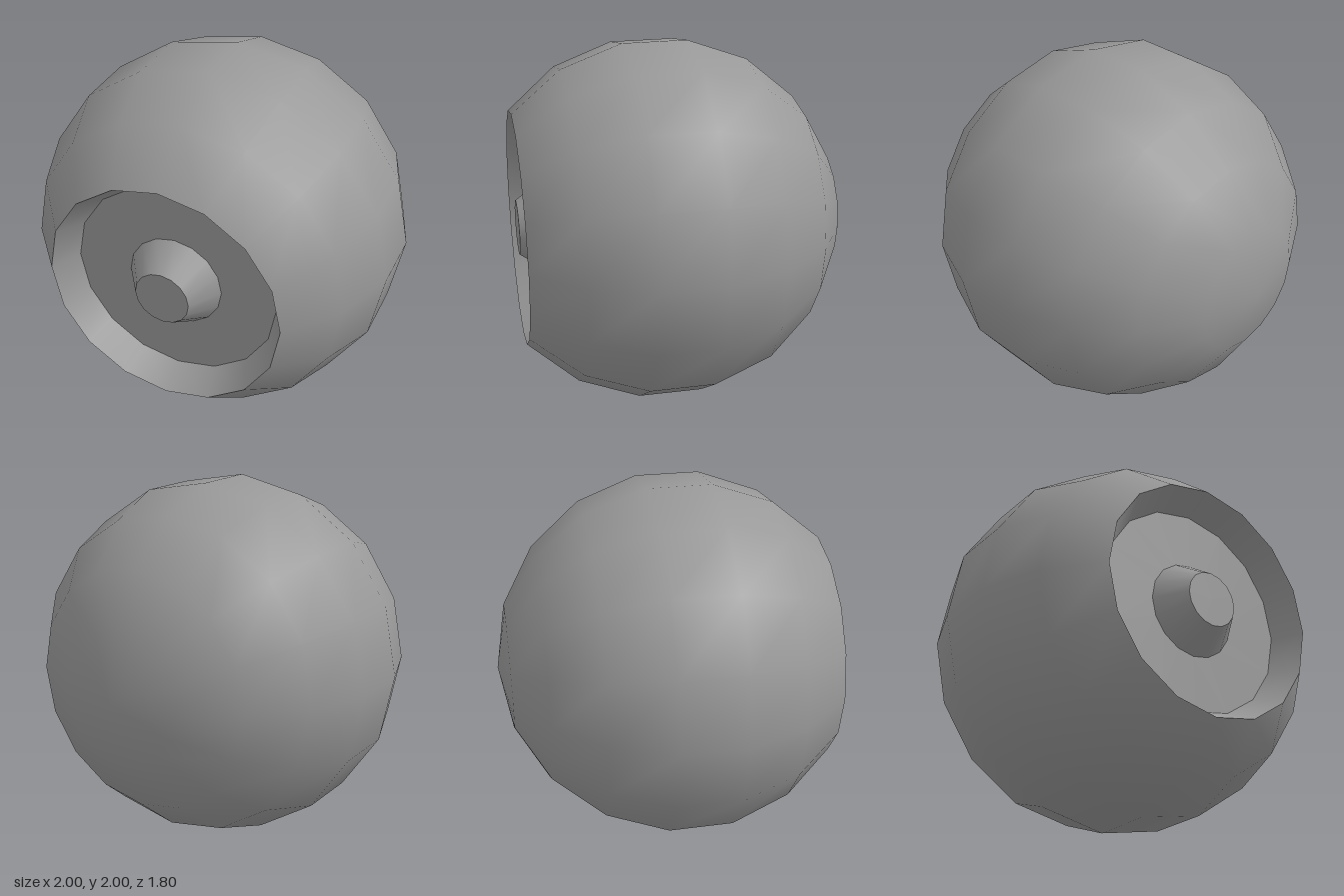
import * as THREE from 'three';

const SIDES = 16;

export function createModel() {
  const model = new THREE.Group();
  const material = new THREE.MeshStandardMaterial({ color: 0x999999 });

  function add(name, geometry, z = 0) {
    const mesh = new THREE.Mesh(geometry, material);
    mesh.name = name;
    mesh.position.set(0, 1, z);
    model.add(mesh);
  }

  // Lathe a profile of [radius, z] points round the front-back axis.
  function turned(name, profile) {
    const points = profile.map(([r, z]) => new THREE.Vector2(r, z));
    add(name, new THREE.LatheGeometry(points, SIDES).rotateX(Math.PI / 2));
  }

  // Ball: pole at the back, cut off at the front rim
  const radius = 1.015, centreZ = 0.117;
  const cutAngle = THREE.MathUtils.degToRad(140.4);
  const ball = new THREE.SphereGeometry(radius, SIDES, 7, 0, Math.PI * 2, 0, cutAngle);
  add('ballShell', ball.rotateX(-Math.PI / 2), centreZ);

  // Front recess: tapered wall and flat floor
  const rimR = radius * Math.sin(cutAngle);
  const rimZ = centreZ - radius * Math.cos(cutAngle);
  const floorZ = rimZ - 0.16;
  turned('recessWall', [[rimR, rimZ], [0.565, floorZ]]);
  turned('recessFloor', [[0.565, floorZ], [0.26, floorZ]]);

  // Central knob, flush with the rim
  turned('knobSide', [[0.26, floorZ], [0.15, rimZ]]);
  turned('knobFace', [[0.15, rimZ], [0, rimZ]]);

  return model;
}
